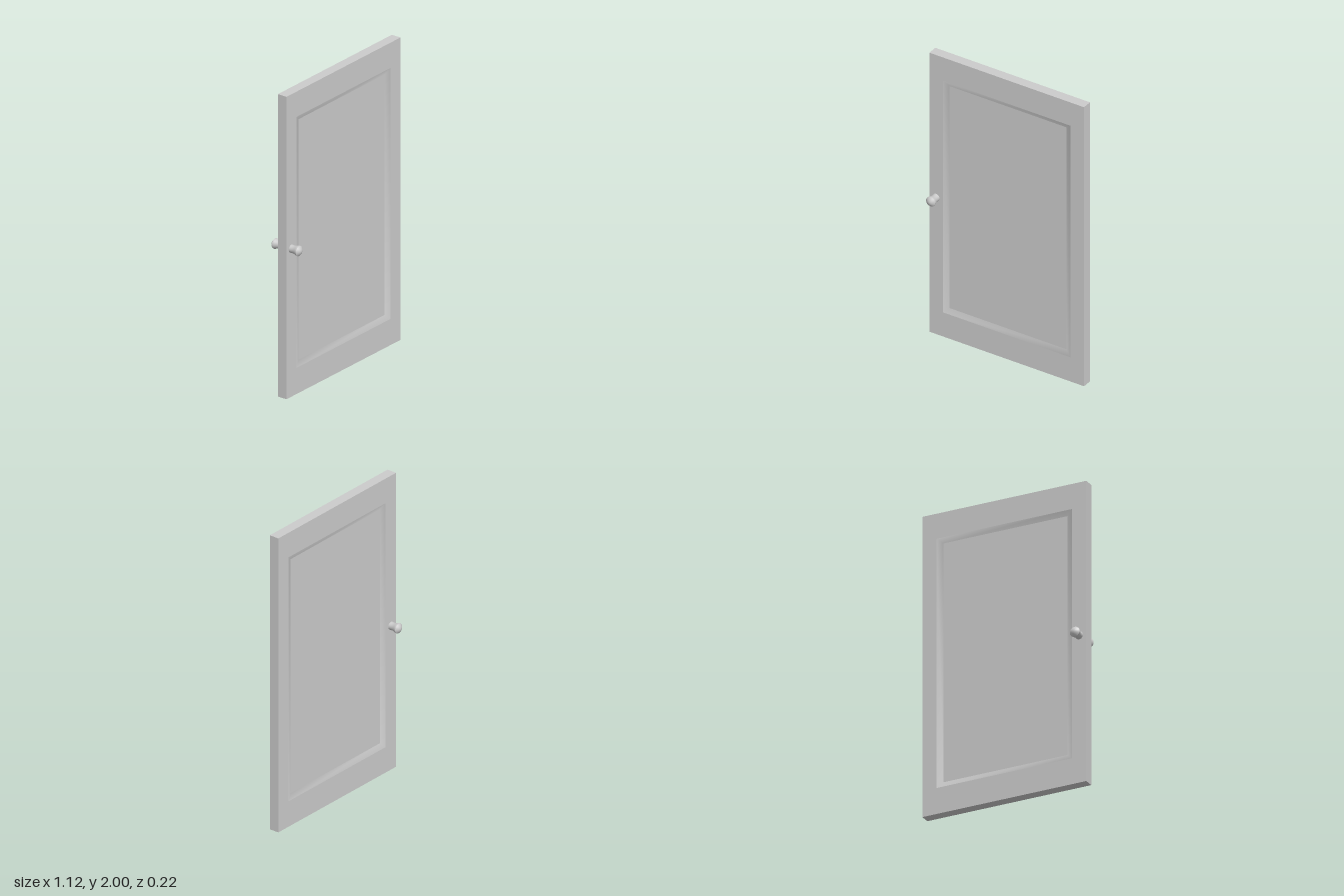
import * as THREE from 'three';

const W = 0.558, H = 2, T = 0.033;            // door half width, height, half thickness
const OUTER = { x: 0.46, y0: 0.173, y1: 1.833 };   // outer edge of the panel moulding
const INNER = { x: 0.422, y0: 0.209, y1: 1.8 };    // inner edge of the panel moulding
const DEPTH = 0.015;                          // recess of the panel

const corners = (r) => [[-r.x, r.y0], [r.x, r.y0], [r.x, r.y1], [-r.x, r.y1]];
const loop = (r) => corners(r).map(([x, y]) => new THREE.Vector2(x, y));

// Sloped ring between the frame and the panel, with shared corners for soft shading
function mouldingGeometry() {
  const points = [
    ...corners(OUTER).map(([x, y]) => [x, y, T]),
    ...corners(INNER).map(([x, y]) => [x, y, T - DEPTH]),
  ];
  const index = [];
  for (let i = 0; i < 4; i++) {
    const j = (i + 1) % 4;
    index.push(i, j, j + 4, i, j + 4, i + 4);
  }
  const g = new THREE.BufferGeometry();
  g.setAttribute('position', new THREE.Float32BufferAttribute(points.flat(), 3));
  g.setIndex(index);
  g.computeVertexNormals();
  return g;
}

// Turned handle: waisted neck, flared rim and a separate domed cap, along +z
function makeKnob(material) {
  const knob = new THREE.Group();
  const lathe = (name, pts) => {
    const curve = pts.map(([r, z]) => new THREE.Vector2(r, z));
    const g = new THREE.LatheGeometry(curve, 32);
    g.rotateX(Math.PI / 2);
    const mesh = new THREE.Mesh(g, material);
    mesh.name = name;
    knob.add(mesh);
  };
  lathe('knobNeck', [[0.026, T - 0.003], [0.025, 0.045], [0.025, 0.056], [0.027, 0.068],
    [0.031, 0.08], [0.033, 0.087], [0.033, 0.093]]);
  lathe('knobCap', [[0.033, 0.093], [0.025, 0.1], [0.016, 0.106], [0.008, 0.109], [0, 0.11]]);
  return knob;
}

export function createModel() {
  const model = new THREE.Group();
  model.name = 'door';
  const material = new THREE.MeshStandardMaterial({ color: 0xcccccc });
  const add = (name, geometry) => {
    const mesh = new THREE.Mesh(geometry, material);
    mesh.name = name;
    model.add(mesh);
    return mesh;
  };

  // Frame with a rectangular opening
  const shape = new THREE.Shape(loop({ x: W, y0: 0, y1: H }));
  shape.holes.push(new THREE.Path(loop(OUTER).reverse()));
  add('frame', new THREE.ExtrudeGeometry(shape, { depth: 2 * T, bevelEnabled: false })
    .translate(0, 0, -T));

  // Recessed panel
  add('panel', new THREE.BoxGeometry(2 * INNER.x, INNER.y1 - INNER.y0, 2 * (T - DEPTH))
    .translate(0, (INNER.y0 + INNER.y1) / 2, 0));

  // Moulding and knob on each face
  for (const [side, angle] of [['front', 0], ['back', Math.PI]]) {
    add(side + 'Moulding', mouldingGeometry()).rotation.y = angle;
    const knob = makeKnob(material);
    knob.name = side + 'Knob';
    knob.position.set(-0.51, 0.98, 0);
    knob.rotation.y = angle;
    model.add(knob);
  }
  return model;
}
